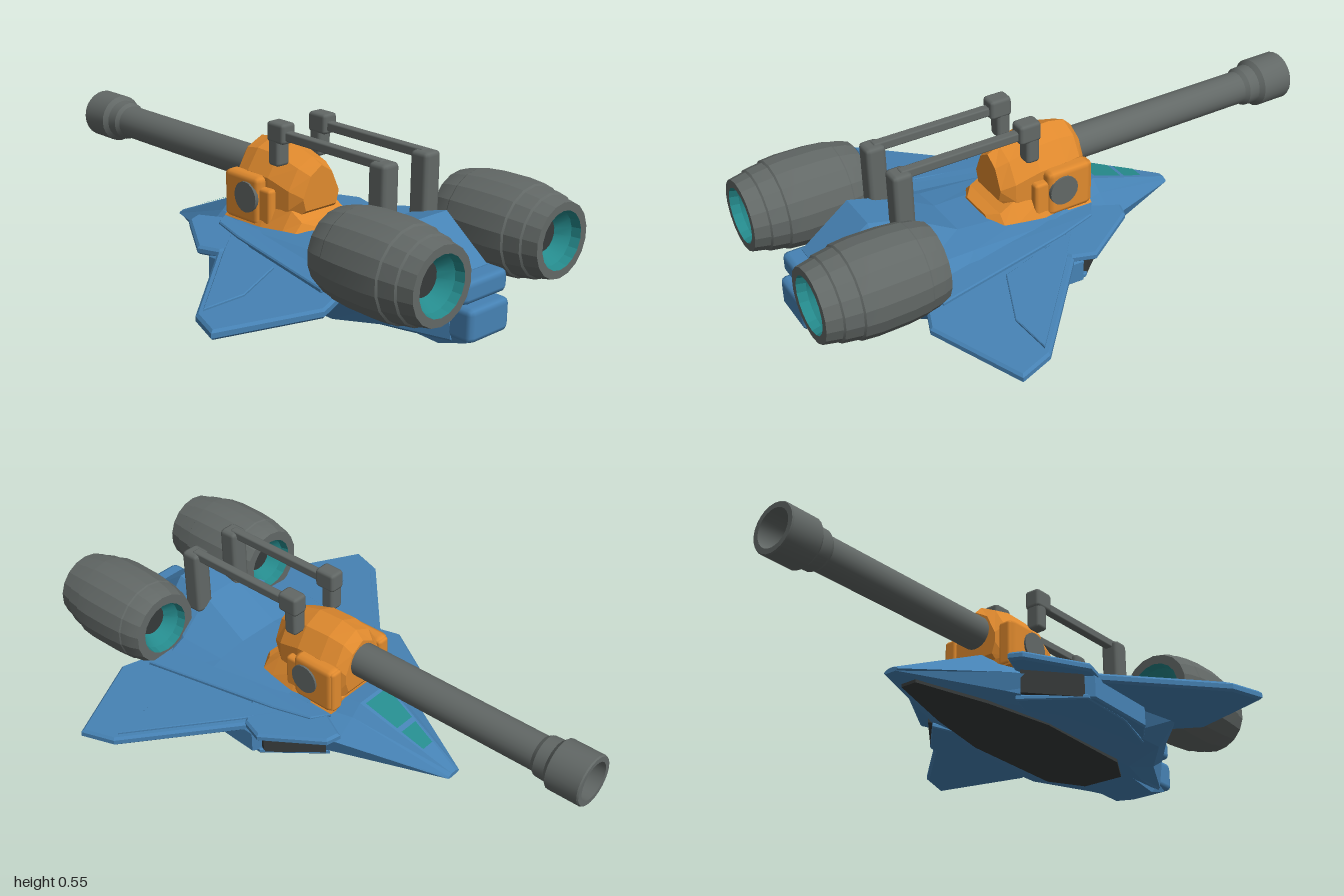
import * as THREE from 'three';
import { toCreasedNormals } from 'three/addons/utils/BufferGeometryUtils.js';
import { RoundedBoxGeometry } from 'three/addons/geometries/RoundedBoxGeometry.js';

const mat = (name, color) => {
  const m = new THREE.MeshStandardMaterial({ color });
  m.name = name;
  return m;
};

// Loft of mirrored half sections [z, [[x, y] from top centre to bottom centre]]
function loft(sections) {
  const rings = sections.map(([z, half]) => [
    ...half.map(([x, y]) => [x, y, z]),
    ...half.slice(1, -1).reverse().map(([x, y]) => [-x, y, z]),
  ]);
  const pos = [], n = rings[0].length;
  const tri = (a, b, c) => pos.push(...a, ...b, ...c);
  for (let i = 0; i < rings.length - 1; i++) {
    for (let j = 0; j < n; j++) {
      const k = (j + 1) % n, A = rings[i], B = rings[i + 1];
      tri(A[j], B[j], B[k]);
      tri(A[j], B[k], A[k]);
    }
  }
  const first = rings[0], last = rings[rings.length - 1];
  for (let j = 1; j < n - 1; j++) {
    tri(first[0], first[j], first[j + 1]);
    tri(last[0], last[j + 1], last[j]);
  }
  const g = new THREE.BufferGeometry();
  g.setAttribute('position', new THREE.Float32BufferAttribute(pos, 3));
  g.computeVertexNormals();
  return g;
}

// Horizontal plate from an [x, z] outline; lift(x, z) raises its vertices
function plate(outline, thick, lift, bevel = 0) {
  const shape = new THREE.Shape(outline.map(([x, z]) => new THREE.Vector2(x, -z)));
  const g = new THREE.ExtrudeGeometry(shape, {
    depth: thick - 2 * bevel, bevelEnabled: bevel > 0, bevelThickness: bevel,
    bevelSize: bevel, bevelOffset: -bevel, bevelSegments: 1,
  }).translate(0, 0, bevel).rotateX(-Math.PI / 2);
  const p = g.attributes.position;
  for (let i = 0; i < p.count; i++) p.setY(i, p.getY(i) + lift(p.getX(i), p.getZ(i)));
  g.computeVertexNormals();
  return g;
}

// Turned part along z from [radius, z] points
const turned = (pts, sides, crease) => toCreasedNormals(
  new THREE.LatheGeometry(pts.map(([r, z]) => new THREE.Vector2(r, z)), sides).rotateX(Math.PI / 2), crease);

export function createModel() {
  const blue = mat('hullBlue', 0x4682b4);
  const orange = mat('turretOrange', 0xe08a2e);
  const grey = mat('metalGrey', 0x626866);
  const dark = mat('darkGrey', 0x363a3a);
  const teal = mat('glowTeal', 0x258a8c);
  const model = new THREE.Group();
  const add = (name, geo, m, x = 0, y = 0, z = 0) => {
    const mesh = new THREE.Mesh(geo, m);
    mesh.name = name;
    mesh.position.set(x, y, z);
    model.add(mesh);
    return mesh;
  };
  const box = (name, m, w, h, d, x, y, z, r = 0.012) =>
    add(name, new RoundedBoxGeometry(w, h, d, 1, r), m, x, y, z);

  // Hull: pointed nose, flat deck, raised tail spine
  const hullSections = [
    [-0.49, [[0, 0.068], [0.01, 0.068], [0.025, 0.062], [0.03, 0.057], [0.02, 0.052], [0, 0.052]]],
    [-0.14, [[0, 0.217], [0.07, 0.217], [0.11, 0.18], [0.19, 0.12], [0.17, 0.06], [0, 0.034]]],
    [0.1, [[0, 0.2], [0.1, 0.2], [0.18, 0.185], [0.28, 0.15], [0.27, 0.06], [0, 0.022]]],
    [0.4, [[0, 0.215], [0.08, 0.215], [0.19, 0.2], [0.33, 0.15], [0.28, 0.055], [0, 0.016]]],
    [0.58, [[0, 0.32], [0.075, 0.32], [0.2, 0.21], [0.36, 0.14], [0.28, 0.055], [0, 0.014]]],
    [0.71, [[0, 0.355], [0.075, 0.355], [0.12, 0.3], [0.23, 0.12], [0.17, 0.045], [0, 0.012]]],
    [0.88, [[0, 0.23], [0.07, 0.23], [0.09, 0.2], [0.1, 0.13], [0.085, 0.03], [0, 0.02]]],
  ];
  // Square the belly with a flat bottom edge
  const belly = [0.012, 0.1, 0.15, 0.15, 0.15, 0.11, 0.075];
  hullSections.forEach(([, half], i) => half.splice(5, 0, [belly[i], half[5][1]]));
  add('hull', loft(hullSections), blue);

  // Tail blocks and keel
  box('upperTailBlock', blue, 0.2, 0.075, 0.14, 0, 0.19, 0.87, 0.02);
  box('lowerTailBlock', blue, 0.18, 0.11, 0.15, 0, 0.09, 0.885, 0.02);
  add('tailKeel', loft([
    [0.6, [[0, 0.08], [0.12, 0.08], [0.1, 0.02], [0, 0.02]]],
    [0.83, [[0, 0.08], [0.09, 0.08], [0.08, 0], [0, 0]]],
    [0.93, [[0, 0.08], [0.085, 0.08], [0.07, 0.03], [0, 0.03]]],
  ]), blue);

  // Belly armour
  add('bellyPlate', plate([[0.03, -0.41], [0.11, -0.15], [0.16, 0.1], [0.155, 0.5], [0.08, 0.63],
    [-0.08, 0.63], [-0.155, 0.5], [-0.16, 0.1], [-0.11, -0.15], [-0.03, -0.41]], 0.016,
  (x, z) => 0.004 + 0.033 * Math.max(0, (0.5 - z) / 0.9)), dark);

  // Canopy glass on the nose slope
  const slope = (t, s) => [s * (0.01 + 0.06 * t) * 0.84, 0.068 + 0.149 * t + 0.004, -0.49 + 0.35 * t];
  for (const [a, b] of [[0.32, 0.56], [0.61, 0.96]]) {
    const q = [slope(a, -1), slope(b, -1), slope(b, 1), slope(a, 1)];
    const g = new THREE.BufferGeometry();
    g.setAttribute('position', new THREE.Float32BufferAttribute(
      [q[0], q[1], q[2], q[0], q[2], q[3]].flat(), 3));
    g.computeVertexNormals();
    add('canopyGlass', g, teal);
  }

  for (const s of [1, -1]) {
    const mir = (pts) => pts.map(([x, z]) => [s * x, z]);
    const droop = (base) => (x) => base - (Math.abs(x) - 0.33) * 0.075;

    // Wing with raised leading and root panels
    add('wing', plate(mir([[0.2, -0.02], [0.35, 0.12], [0.68, 0.42], [0.72, 0.54], [0.41, 0.68], [0.2, 0.6]]),
      0.032, droop(0.131), 0.008), blue);
    add('wingLeadingPanel', plate(mir([[0.24, 0.06], [0.35, 0.15], [0.655, 0.425], [0.51, 0.44], [0.32, 0.36]]),
      0.012, droop(0.159), 0.003), blue);
    add('wingRootPanel', plate(mir([[0.15, -0.08], [0.21, -0.04], [0.25, 0.1], [0.35, 0.6], [0.2, 0.6]]),
      0.016, (x) => 0.172 - Math.max(0, Math.abs(x) - 0.2) * 0.06, 0.004), blue);

    // Side intake: roof, dark duct and floor
    const pod = [[0.15, -0.06], [0.2, -0.165], [0.25, -0.15], [0.375, 0.05], [0.35, 0.13], [0.15, 0.25]];
    add('intakeRoof', plate(mir(pod), 0.03, (x) => 0.15 - (Math.abs(x) - 0.2) * 0.08, 0.008), blue);
    add('intakeDuct', plate(mir([[0.15, -0.04], [0.2, -0.1], [0.335, 0.06], [0.31, 0.14], [0.15, 0.25]]),
      0.08, () => 0.06), dark);
    add('intakeFloor', plate(mir([[0.15, -0.02], [0.18, -0.1], [0.345, 0.07], [0.33, 0.3], [0.27, 0.5], [0.15, 0.5]]),
      0.018, (x) => 0.035 + (Math.abs(x) - 0.15) * 0.1, 0.004), blue);
    add('intakeOuterWall', plate(mir([[0.33, 0.07], [0.36, 0.09], [0.345, 0.4], [0.27, 0.5], [0.27, 0.15]]),
      0.085, () => 0.058, 0.006), blue);

    // Engine barrel with glowing recesses at both ends
    const ex = s * 0.27, ey = 0.287;
    add('engineShell', turned([[0.095, 0.59], [0.128, 0.59], [0.14, 0.62], [0.147, 0.66], [0.15, 0.665],
      [0.156, 0.73], [0.157, 0.83], [0.152, 0.885], [0.146, 0.89], [0.138, 0.945], [0.132, 0.95],
      [0.122, 1], [0.095, 1]], 18, 0.3), grey, ex, ey);
    add('engineNozzle', turned([[0.095, 1], [0.088, 0.97], [0.055, 0.93]], 18, 0.3), teal, ex, ey);
    add('engineNozzleCore', turned([[0.055, 0.93], [0, 0.93]], 18, 0.3), dark, ex, ey);
    add('engineIntake', turned([[0.055, 0.66], [0.088, 0.62], [0.095, 0.59]], 18, 0.3), teal, ex, ey);
    add('engineIntakeCore', turned([[0, 0.66], [0.055, 0.66]], 18, 0.3), dark, ex, ey);

    // Carrying rail with its two posts
    const rx = s * 0.093;
    box('railRearPost', grey, 0.07, 0.24, 0.07, rx, 0.4, 0.6, 0.015);
    box('railFrontPost', grey, 0.055, 0.15, 0.05, rx, 0.475, 0.13, 0.012);
    box('railFrontHead', grey, 0.06, 0.07, 0.08, rx, 0.515, 0.14, 0.012);
    box('rail', grey, 0.032, 0.032, 0.46, rx, 0.508, 0.37, 0.006);

    // Turret cheek with round hub
    box('turretCheek', orange, 0.06, 0.17, 0.17, s * 0.122, 0.27, 0.005, 0.02);
    box('turretFrontTrim', orange, 0.05, 0.16, 0.05, s * 0.12, 0.268, -0.06, 0.012);
    box('turretRearTrim', orange, 0.05, 0.13, 0.07, s * 0.115, 0.255, 0.1, 0.012);
    add('turretHub', toCreasedNormals(new THREE.CylinderGeometry(0.053, 0.053, 0.014, 20).rotateZ(Math.PI / 2), 0.6),
      grey, s * 0.152, 0.28, 0.035);
  }

  // Turret dome and foot
  const dome = (z, top, w, low) => [z, [[0, top], [w * 0.6, top - 0.03], [w, top - 0.1], [w, low + 0.04], [w * 0.85, low], [0, low]]];
  add('turretDome', loft([dome(-0.09, 0.415, 0.085, 0.24), dome(-0.06, 0.445, 0.105, 0.19),
    dome(0.0, 0.456, 0.115, 0.19), dome(0.1, 0.452, 0.115, 0.19), dome(0.19, 0.425, 0.105, 0.22),
    dome(0.235, 0.405, 0.08, 0.26)]), orange);
  add('turretFoot', loft([
    [-0.08, [[0, 0.22], [0.12, 0.22], [0.15, 0.185], [0, 0.185]]],
    [0.1, [[0, 0.25], [0.12, 0.25], [0.15, 0.19], [0, 0.19]]],
    [0.2, [[0, 0.26], [0.1, 0.26], [0.14, 0.2], [0, 0.2]]],
    [0.25, [[0, 0.232], [0.1, 0.232], [0.13, 0.202], [0, 0.202]]],
    [0.285, [[0, 0.218], [0.06, 0.218], [0.08, 0.202], [0, 0.202]]],
  ]), orange);

  // Cannon with flared muzzle and dark bore
  add('cannon', turned([[0.066, -0.9], [0.066, -1], [0.084, -1], [0.087, -0.995], [0.087, -0.88], [0.072, -0.865],
    [0.07, -0.825], [0.06, -0.81], [0.06, -0.05]], 24, 0.4), grey, 0, 0.337);
  add('cannonBore', turned([[0, -0.9], [0.066, -0.9]], 24, 0.4), dark, 0, 0.337);

  return model;
}
